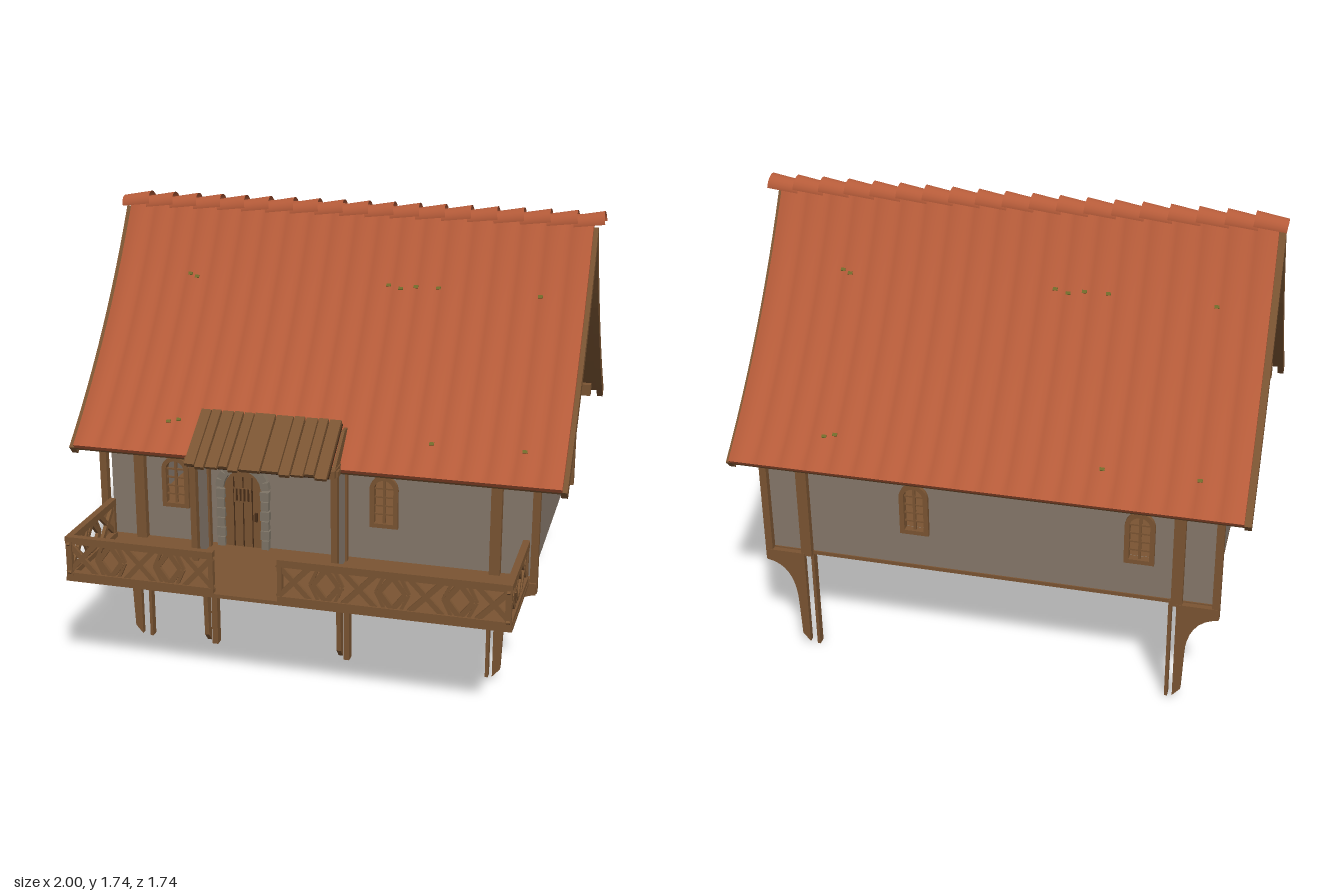
import * as THREE from 'three';

const mat = (name, color, side = THREE.FrontSide) => {
  const m = new THREE.MeshStandardMaterial({ color, side });
  m.name = name;
  return m;
};

export function createModel() {
  const house = new THREE.Group();
  house.name = 'stiltHouse';
  const M = {
    tile: mat('roofTile', 0xb55b39, THREE.DoubleSide),
    wood: mat('wood', 0x7a5432),
    dark: mat('darkWood', 0x452c18),
    wall: mat('plasterWall', 0x85776a, THREE.DoubleSide),
    gable: mat('gablePlaster', 0xa59674, THREE.DoubleSide),
    stone: mat('stone', 0x7d7466),
    moss: mat('moss', 0x6f6a2a, THREE.DoubleSide),
  };
  const add = (name, geo, material, parent = house) => {
    const m = new THREE.Mesh(geo, material);
    m.name = name;
    parent.add(m);
    return m;
  };
  const box = (name, material, x0, x1, y0, y1, z0, z1, parent) => {
    const m = add(name, new THREE.BoxGeometry(x1 - x0, y1 - y0, z1 - z0), material, parent);
    m.position.set((x0 + x1) / 2, (y0 + y1) / 2, (z0 + z1) / 2);
    return m;
  };
  // slanted bar between two points in the xy plane
  const bar = (name, material, a, b, w, d, parent) => {
    const dx = b[0] - a[0], dy = b[1] - a[1];
    const m = add(name, new THREE.BoxGeometry(Math.hypot(dx, dy), w, d), material, parent);
    m.position.set((a[0] + b[0]) / 2, (a[1] + b[1]) / 2, 0);
    m.rotation.z = Math.atan2(dy, dx);
    return m;
  };
  const poly = pts => new THREE.Shape(pts.map(p => new THREE.Vector2(...p)));
  const extrude = (shape, depth) =>
    new THREE.ExtrudeGeometry(shape, { depth, bevelEnabled: false, curveSegments: 8 });
  // extrude a (z, y) outline across x0..x1
  const acrossX = (shape, x0, x1) => extrude(shape, x1 - x0).rotateY(-Math.PI / 2).translate(x1, 0, 0);

  // ---- roof: flared slope, s = +1 front, -1 back; off = depth below the surface
  const RIDGE = -0.16;
  const slope = (t, s, off = 0) => {
    const u = 1 - t;
    const d = 2 * u * t * 0.285 + t * t * 0.695 - off * 0.67 * t;
    const y = u * u * 1.71 + 2 * u * t * 1.22 + t * t * 0.845 - off * (1.6 - 0.85 * t);
    return [RIDGE + s * d, y];
  };
  const N = 12;
  const slopeLine = (s, off, end = 1) =>
    Array.from({ length: N + 1 }, (_, i) => slope((i / N) * end, s, off));
  const band = (s, o0, o1) => poly([...slopeLine(s, o0), ...slopeLine(s, o1).reverse()]);
  for (const s of [1, -1]) {
    add('roofSlab', acrossX(band(s, 0, 0.022), -0.97, 0.952), M.tile);
    add('soffit', acrossX(band(s, 0.022, 0.034), -0.97, 0.952), M.wood);
    for (const x of [-0.995, 0.945]) add('bargeBoard', acrossX(band(s, 0.02, 0.062), x, x + 0.025), M.wood);
    // rippled tile surface
    const g = new THREE.PlaneGeometry(1, 1, 120, N);
    const p = g.attributes.position;
    for (let i = 0; i < p.count; i++) {
      const u = p.getX(i) + 0.5, t = 0.5 - p.getY(i);
      const [z, y] = slope(t, s, -0.002 - 0.01 * Math.abs(Math.sin(u * Math.PI * 20)));
      p.setXYZ(i, s > 0 ? -0.97 + u * 1.922 : 0.952 - u * 1.922, y, z);
    }
    g.computeVertexNormals();
    add('roofTiles', g, M.tile);
    // moss flecks
    for (const [x, t] of [[-0.65, 0.3], [-0.62, 0.31], [0.18, 0.3], [0.23, 0.31], [0.29, 0.3], [0.38, 0.3],
      [0.78, 0.31], [-0.6, 0.88], [-0.56, 0.87], [0.45, 0.88], [0.8, 0.88]]) {
      const [z, y] = slope(t, s, -0.014), [z2, y2] = slope(t + 0.01, s, -0.014);
      const m = add('mossFleck', new THREE.BoxGeometry(0.018, 0.004, 0.012), M.moss);
      m.position.set(x * s, y, z);
      m.rotation.x = Math.atan2(y - y2, z2 - z);
    }
  }

  // ridge caps, each tilted over its neighbour
  for (let i = 0; i < 19; i++) {
    const g = new THREE.CylinderGeometry(0.046, 0.04, 0.122, 12, 1, true, 0, Math.PI);
    g.rotateZ(-Math.PI / 2).rotateX(Math.PI);
    g.computeBoundingBox();
    if (g.boundingBox.max.y < 0.01) g.rotateX(Math.PI);
    const cap = add('ridgeCap', g, M.tile);
    cap.position.set(-0.938 + i * 0.1042, 1.69, RIDGE);
    cap.rotation.z = 0.13;
  }

  // ---- gables and end beams
  const gable = poly([...slopeLine(1, 0.05, 0.9), ...slopeLine(-1, 0.05, 0.9).reverse()]);
  for (const x of [-0.885, 0.84]) add('gableWall', acrossX(gable, x, x + 0.015), M.gable);
  for (const x of [-0.9, 0.825]) box('endBeam', M.wood, x, x + 0.045, 0.84, 0.895, -0.77, 0.43);
  for (const z of [-0.79, 0.4]) box('wallPlate', M.wood, -0.95, 0.92, 0.815, 0.865, z, z + 0.04);

  // ---- walls with arched window openings
  const arch = (Type, cx, w, y0, y1) => {
    const s = new Type(), r = w / 2;
    s.moveTo(cx - r, y0);
    s.lineTo(cx + r, y0);
    s.lineTo(cx + r, y1 - r);
    s.absarc(cx, y1 - r, r, 0, Math.PI, false);
    s.lineTo(cx - r, y0);
    return s;
  };
  const windows = [-0.595, 0.26];
  for (const [z, out] of [[0.38, 1], [-0.76, -1]]) {
    const w = poly([[-0.87, 0.43], [0.84, 0.43], [0.84, 0.84], [-0.87, 0.84]]);
    for (const x of windows) w.holes.push(arch(THREE.Path, x, 0.08, 0.59, 0.772));
    add('longWall', extrude(w, 0.02).translate(0, 0, z), M.wall);
    for (const x of windows) {
      const win = new THREE.Group();
      win.name = 'window';
      win.position.set(x, 0, z + 0.01 + out * 0.01);
      const f = arch(THREE.Shape, 0, 0.112, 0.575, 0.788);
      f.holes.push(arch(THREE.Path, 0, 0.076, 0.592, 0.77));
      add('windowFrame', extrude(f, 0.03).translate(0, 0, -0.015), M.wood, win);
      box('mullion', M.wood, -0.005, 0.005, 0.59, 0.77, -0.005, 0.005, win);
      for (const y of [0.625, 0.66, 0.695, 0.73]) box('glazingBar', M.wood, -0.038, 0.038, y, y + 0.006, -0.004, 0.004, win);
      house.add(win);
    }
  }
  for (const x of [-0.87, 0.825]) box('endWall', M.wall, x, x + 0.015, 0.43, 0.84, -0.745, 0.385);

  // ---- floor and posts
  box('deck', M.wood, -0.87, 0.835, 0.42, 0.435, -0.765, 0.865);
  for (const z of [0.42, -0.785]) {
    for (const x of [-0.9, 0.838]) box('cornerPost', M.wood, x, x + 0.028, 0.385, 0.84, z, z + 0.03);
    for (const x of [-0.762, 0.678]) box('wallPost', M.wood, x, x + 0.042, 0.42, 0.83, z === 0.42 ? 0.395 : -0.785, z === 0.42 ? 0.43 : -0.755);
  }

  // ---- stilts: curved bracket planks with a straight post beside them
  const bracket = () => {
    const s = new THREE.Shape();
    s.moveTo(0, 0.43);
    s.lineTo(0.155, 0.43);
    s.lineTo(0.155, 0.385);
    s.quadraticCurveTo(0.04, 0.37, 0.036, 0.2);
    s.lineTo(0.03, 0.055);
    s.lineTo(0, 0.02);
    return s;
  };
  for (const [zb, zp] of [[0.438, 0.4], [-0.787, -0.768]]) {
    const left = add('cornerBracket', extrude(bracket(), 0.022), M.wood);
    left.position.set(0.708, 0, zb);
    const right = add('cornerBracket', extrude(bracket(), 0.022).rotateY(Math.PI), M.wood);
    right.position.set(-0.742, 0, zb + 0.022);
    for (const x of [-0.722, 0.676]) box('cornerStilt', M.wood, x, x + 0.012, 0, 0.43, zp, zp + 0.032);
  }
  for (const x of [-0.467, 0.087]) {
    add('porchBracket', acrossX(bracket(), x, x + 0.018).translate(0, 0, 0.44), M.wood);
    box('porchStilt', M.wood, x + 0.018, x + 0.042, 0, 0.43, 0.4, 0.435);
  }

  // ---- railings: alternating crosses and diamonds
  const rail = (length, panels, x, z, turned) => {
    const g = new THREE.Group();
    g.name = 'railing';
    box('topRail', M.wood, 0, length, 0.572, 0.6, -0.013, 0.013, g);
    box('bottomRail', M.wood, 0, length, 0.432, 0.456, -0.013, 0.013, g);
    for (const e of [0, length - 0.018]) box('railPost', M.wood, e, e + 0.018, 0.43, 0.595, -0.011, 0.011, g);
    const w = length / panels, lo = 0.45, hi = 0.578, mid = 0.514;
    for (let i = 0; i < panels; i++) {
      const a = i * w, b = a + w, c = a + w / 2;
      if (i % 2 === 0) {
        bar('crossBrace', M.wood, [a, lo], [b, hi], 0.02, 0.014, g);
        bar('crossBrace', M.wood, [a, hi], [b, lo], 0.02, 0.012, g);
      } else {
        for (const e of [a + 0.012, b - 0.012]) for (const y of [lo, hi]) bar('diamondBrace', M.wood, [c, y], [e, mid], 0.02, 0.013, g);
        for (const y of [lo, hi]) for (const e of [a, b]) bar('cornerBrace', M.wood, [e, mid], [(e + c) / 2, y], 0.012, 0.01, g);
      }
    }
    g.position.set(x, 0, z);
    if (turned) g.rotation.y = Math.PI / 2;
    house.add(g);
  };
  rail(0.585, 5, -0.863, 0.852);
  rail(0.86, 7, -0.03, 0.852);
  for (const x of [-0.853, 0.82]) rail(0.42, 3, x, 0.866, true);

  // ---- door with stone surround
  const doorX = -0.31;
  add('door', extrude(arch(THREE.Shape, doorX, 0.155, 0.43, 0.755), 0.012).translate(0, 0, 0.4), M.wood);
  for (const i of [-1, 0, 1]) box('doorSeam', M.dark, doorX + i * 0.038 - 0.002, doorX + i * 0.038 + 0.002, 0.435, 0.73, 0.411, 0.414);
  box('doorGrille', M.dark, doorX - 0.04, doorX + 0.04, 0.63, 0.68, 0.412, 0.416);
  for (let i = 0; i < 5; i++) box('grilleBar', M.wood, doorX - 0.036 + i * 0.016, doorX - 0.029 + i * 0.016, 0.625, 0.685, 0.415, 0.42);
  box('doorHandle', M.dark, doorX + 0.05, doorX + 0.06, 0.55, 0.585, 0.412, 0.425);
  for (const s of [-1, 1]) for (let i = 0; i < 6; i++) {
    const w = 0.03 + 0.006 * (i % 2), y = 0.435 + i * 0.041;
    box('jambStone', M.stone, doorX + s * 0.091 - w / 2, doorX + s * 0.091 + w / 2, y, y + 0.037, 0.4, 0.425);
  }
  for (let i = 0; i < 9; i++) {
    const a = ((i + 0.5) / 9) * Math.PI;
    const m = add('archStone', new THREE.BoxGeometry(0.034, 0.03, 0.026), M.stone);
    m.position.set(doorX + Math.cos(a) * 0.093, 0.685 + Math.sin(a) * 0.093, 0.413);
    m.rotation.z = a;
  }

  // ---- porch: side walls, posts, beams and plank roof
  for (const x of [-0.462, 0.1]) {
    box('porchSideWall', M.wall, x + 0.004, x + 0.016, 0.43, 0.84, 0.4, 0.57);
    box('porchPost', M.wood, x, x + 0.024, 0.385, 0.86, 0.567, 0.597);
    box('porchInnerPost', M.wood, x, x + 0.024, 0.43, 0.86, 0.425, 0.45);
    box('porchSideBeam', M.wood, x, x + 0.022, 0.838, 0.868, 0.42, 0.625);
    add('porchCheek', acrossX(poly([[0.42, 0.86], [0.61, 0.86], [0.46, 0.975], [0.42, 0.975]]), x + 0.006, x + 0.018), M.wood);
  }
  box('porchFrontBeam', M.wood, -0.48, 0.13, 0.838, 0.86, 0.565, 0.6);
  const porchRoof = new THREE.Group();
  porchRoof.name = 'porchRoof';
  porchRoof.position.set(0, 0.925, 0.56);
  porchRoof.rotation.x = Math.atan2(0.16, 0.22);
  box('roofUnderlay', M.dark, -0.45, 0.108, -0.01, 0, -0.13, 0.12, porchRoof);
  const planks = [0.045, 0.04, 0.05, 0.038, 0.042, 0.085, 0.07, 0.045, 0.05, 0.04, 0.05];
  let px = -0.455;
  planks.forEach((w, i) => {
    box('roofPlank', M.wood, px, px + w - 0.005, 0, 0.014 + 0.003 * (i % 2), -0.135, 0.13 + 0.006 * ((i * 2) % 3 - 1), porchRoof);
    px += w + 0.001;
  });
  house.add(porchRoof);

  return house;
}
